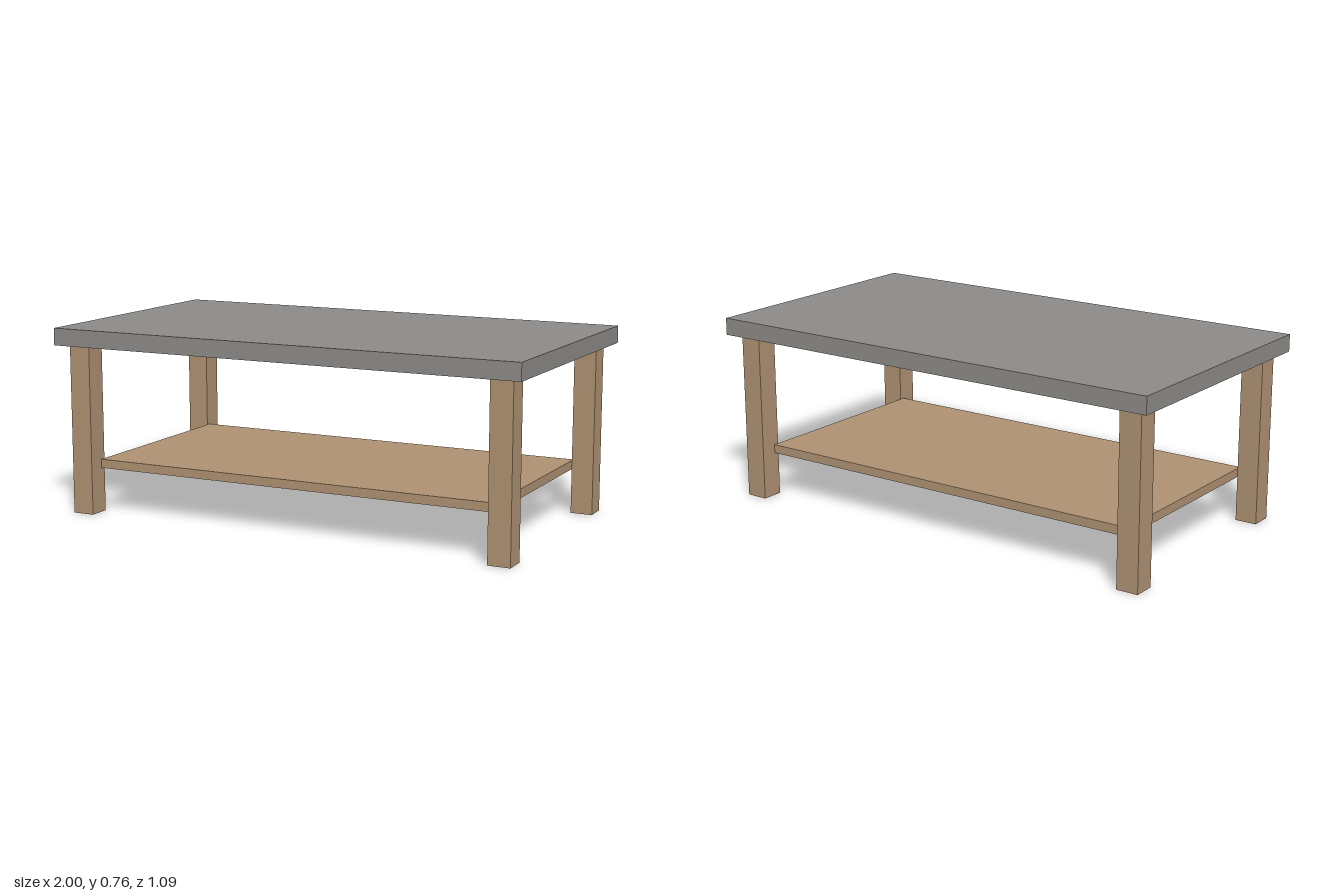
import * as THREE from 'three';

export function createModel() {
  const model = new THREE.Group();
  model.name = 'coffeeTable';

  const stone = new THREE.MeshStandardMaterial({ color: 0x8d8b88 });
  stone.name = 'grey stone';
  const wood = new THREE.MeshStandardMaterial({ color: 0xae9172 });
  wood.name = 'light wood';

  // Box given by its size, centre in plan and bottom height
  function addBox(name, material, [w, h, d], x, bottom, z) {
    const mesh = new THREE.Mesh(new THREE.BoxGeometry(w, h, d), material);
    mesh.name = name;
    mesh.position.set(x, bottom + h / 2, z);
    model.add(mesh);
  }

  const topBottom = 0.695;
  const legSize = 0.091;

  // Thick slab top
  addBox('tableTop', stone, [2, 0.07, 1.09], 0, topBottom, 0);

  // Low shelf held between the left and right legs
  addBox('shelf', wood, [1.728, 0.036, 0.864], 0, 0.183, 0);

  // Four square legs, set in slightly from the corners
  for (const sx of [1, -1]) {
    for (const sz of [1, -1]) {
      const name = (sz > 0 ? 'front' : 'back') + (sx > 0 ? 'Left' : 'Right') + 'Leg';
      addBox(name, wood, [legSize, topBottom, legSize], sx * 0.9095, 0, sz * 0.4555);
    }
  }

  return model;
}
